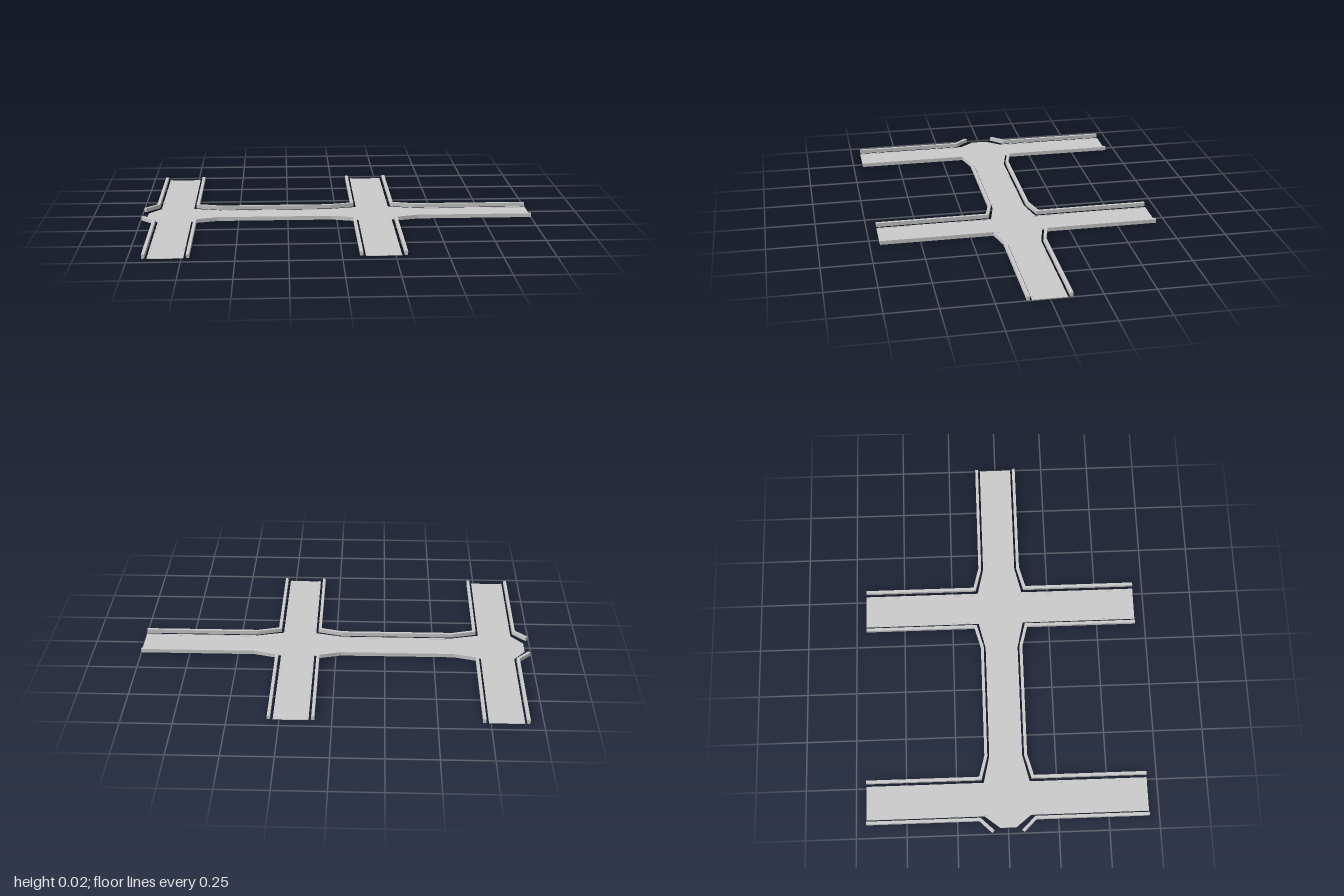
import * as THREE from 'three';

const material = new THREE.MeshStandardMaterial({ color: 0xcccccc, flatShading: true, side: THREE.DoubleSide });
const ARMS = [-0.825, 0.195]; // centre lines of the two cross streets
const END = 0.7;

// Extrude a ground-plan outline of [x, z] points upwards from y0 to y1
function slab(name, outline, y0, y1) {
  const shape = new THREE.Shape(outline.map(([x, z]) => new THREE.Vector2(x, -z)));
  const geometry = new THREE.ExtrudeGeometry(shape, { depth: y1 - y0, bevelEnabled: false });
  geometry.rotateX(-Math.PI / 2).translate(0, y0, 0);
  const mesh = new THREE.Mesh(geometry, material);
  mesh.name = name;
  return mesh;
}

// Outline of a strip with mitred corners along a path
function strip(path, width) {
  const pts = path.map(([x, z]) => new THREE.Vector2(x, z));
  const left = [], right = [];
  pts.forEach((p, i) => {
    const a = p.clone().sub(pts[Math.max(i - 1, 0)]).normalize();
    const b = pts[Math.min(i + 1, pts.length - 1)].clone().sub(p).normalize();
    const d = a.clone().add(b).normalize();
    const n = new THREE.Vector2(-d.y, d.x);
    const along = i ? a : b;
    const h = width / 2 / (n.x * -along.y + n.y * along.x);
    left.push([p.x + n.x * h, p.y + n.y * h]);
    right.unshift([p.x - n.x * h, p.y - n.y * h]);
  });
  return [...left, ...right];
}

export function createModel() {
  const model = new THREE.Group();
  model.name = 'roadNetwork';

  // Road surface: back half of the outline, mirrored for the front half
  const [a, b] = ARMS;
  const half = [
    [-0.97, -0.04], [a - 0.085, -0.115], [a - 0.085, -END], [a + 0.085, -END], [a + 0.085, -0.115],
    [a + 0.22, -0.083], [b - 0.22, -0.083], [b - 0.085, -0.115], [b - 0.085, -END],
    [b + 0.085, -END], [b + 0.085, -0.115], [b + 0.22, -0.083], [1, -0.083],
  ];
  const mirrored = half.map(([x, z]) => [x, -z]).reverse();
  model.add(slab('roadSurface', [...half, ...mirrored], 0, 0.003));

  // Side walls, set a little away from the road edge
  const wallPaths = [
    [[-0.99, 0.074], [a - 0.102, 0.139], [a - 0.102, END]],
    [[a + 0.105, END], [a + 0.105, 0.131], [a + 0.22, 0.1],
      [b - 0.22, 0.1], [b - 0.105, 0.131], [b - 0.105, END]],
    [[b + 0.105, END], [b + 0.105, 0.131], [b + 0.22, 0.1], [1, 0.1]],
  ];
  // Raised edge strips: [x0, x1] runs on the main road, [z0, z1] runs on the arms
  const mainRuns = [[-0.57, -0.41], [-0.23, -0.06], [0.45, 0.61], [0.81, 0.97]];
  const longRuns = [[0.1, 0.3], [0.52, END]];
  const shortRuns = [[0.25, 0.3], [0.52, 0.58]];
  const armRuns = [[a - 0.079, longRuns], [a + 0.077, shortRuns], [b - 0.077, longRuns], [b + 0.077, longRuns]];

  for (const s of [-1, 1]) {
    for (const path of wallPaths) {
      const sided = path.map(([x, z]) => [x, s * z]);
      model.add(slab('sideWall', strip(sided, 0.015), 0.002, 0.022));
    }
    for (const [x0, x1] of mainRuns) {
      model.add(slab('edgeStrip', strip([[x0, s * 0.073], [x1, s * 0.073]], 0.006), 0.002, 0.005));
    }
    for (const [x, runs] of armRuns) {
      for (const [z0, z1] of runs) {
        model.add(slab('edgeStrip', strip([[x, s * z0], [x, s * z1]], 0.006), 0.002, 0.005));
      }
    }
  }
  return model;
}
